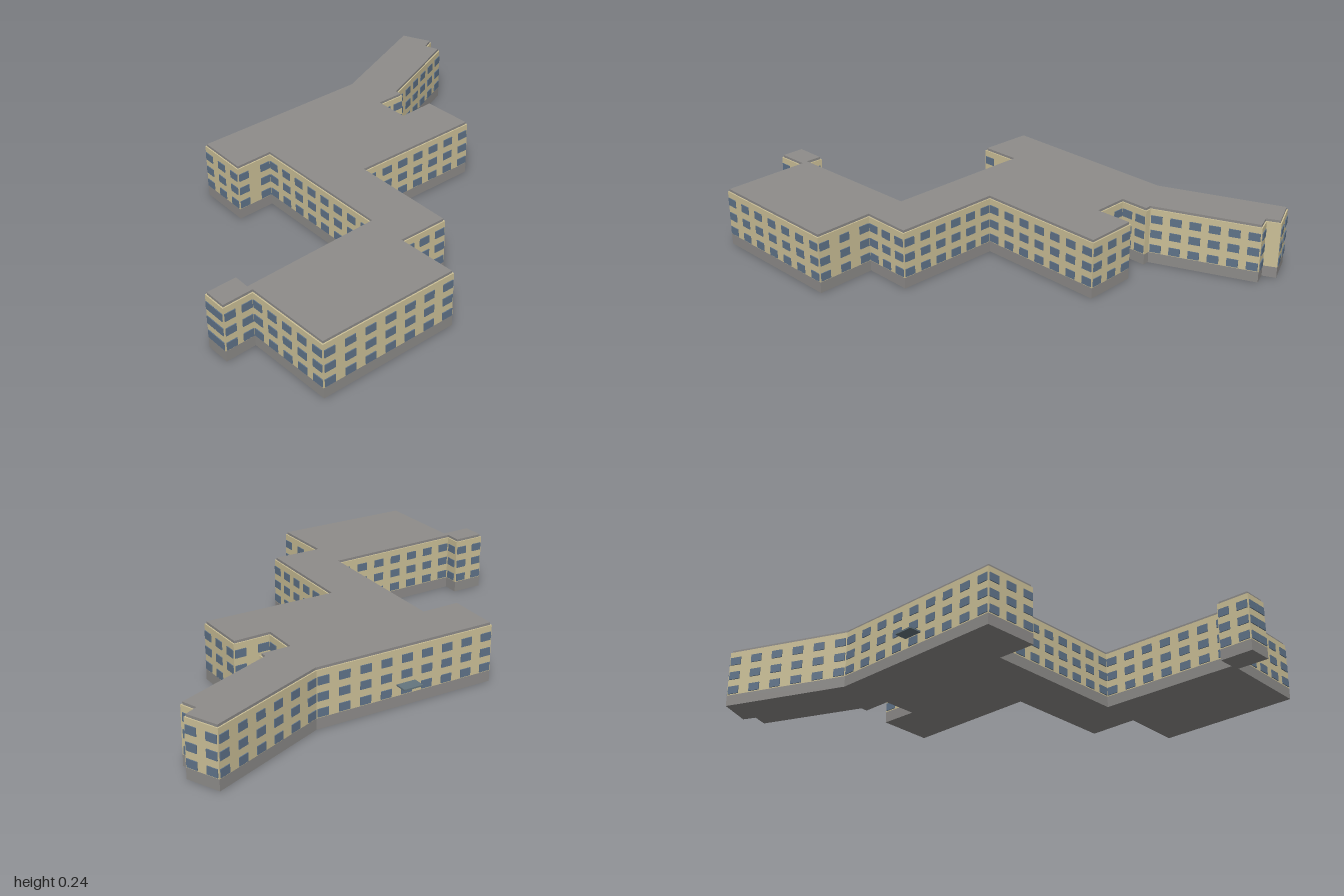
import * as THREE from 'three';
import { mergeGeometries } from 'three/addons/utils/BufferGeometryUtils.js';

const mat = (name, color) => Object.assign(new THREE.MeshStandardMaterial({ color }), { name });

// Footprint corners as [x, z], running from the back left wing around the building
const outline = [
  [-0.275, -0.627], [0.46, -0.465], [0.967, -0.555], [0.997, -0.42], [0.943, -0.407],
  [0.953, -0.345], [0.527, -0.268], [0.523, -0.24], [0.408, -0.265], [0.381, -0.132],
  [0.528, -0.105], [0.489, 0.11], [-0.04, -0.008], [-0.135, 0.425], [-0.332, 0.38],
  [-0.376, 0.625], [-0.942, 0.5], [-0.873, 0.143], [-0.997, 0.12], [-0.975, 0.02],
  [-0.845, 0.046], [-0.86, 0.11], [-0.305, 0.212], [-0.173, -0.38], [-0.328, -0.41],
];

// Move every edge of the footprint inward by d
function inset(points, d) {
  const n = points.length;
  return points.map(([x, z], i) => {
    const p = new THREE.Vector2(...points[(i + n - 1) % n]);
    const c = new THREE.Vector2(x, z);
    const q = new THREE.Vector2(...points[(i + 1) % n]);
    const a = c.clone().sub(p).normalize();
    const b = q.sub(c).normalize();
    const na = new THREE.Vector2(-a.y, a.x);
    const nb = new THREE.Vector2(-b.y, b.x);
    const k = d / (1 + na.dot(nb));
    return [x + (na.x + nb.x) * k, z + (na.y + nb.y) * k];
  });
}

// Prism over a footprint between two heights
function storey(name, points, y0, y1, material) {
  const shape = new THREE.Shape(points.map(([x, z]) => new THREE.Vector2(x, -z)));
  const geo = new THREE.ExtrudeGeometry(shape, { depth: y1 - y0, bevelEnabled: false });
  geo.rotateX(-Math.PI / 2).translate(0, y0, 0);
  const mesh = new THREE.Mesh(geo, material);
  mesh.name = name;
  return mesh;
}

export function createModel() {
  const group = new THREE.Group();
  group.name = 'building';
  const wall = mat('cream wall', 0xcdc198);
  const stone = mat('grey stone', 0x8e8c8a);
  const glass = mat('blue grey glass', 0x60748a);
  const canopyMat = mat('canopy grey', 0x64757e);

  group.add(
    storey('plinth', outline, 0, 0.044, stone),
    storey('walls', outline, 0.044, 0.229, wall),
    storey('roof', inset(outline, 0.005), 0.229, 0.239, stone),
  );

  // Three rows of evenly spaced windows on every wall long enough
  const panes = [];
  outline.forEach(([x0, z0], i) => {
    const [x1, z1] = outline[(i + 1) % outline.length];
    const length = Math.hypot(x1 - x0, z1 - z0);
    if (length < 0.06) return;
    const margin = 0.027;
    const count = length < 0.1 ? 1 : Math.round((length - 2 * margin) / 0.084) + 1;
    for (let k = 0; k < count; k++) {
      const along = count === 1 ? length / 2 : margin + (k * (length - 2 * margin)) / (count - 1);
      const t = along / length;
      for (const y of [0.064, 0.126, 0.188]) {
        const pane = new THREE.BoxGeometry(0.045, 0.032, 0.007);
        pane.rotateY(-Math.atan2(z1 - z0, x1 - x0));
        pane.translate(x0 + (x1 - x0) * t, y, z0 + (z1 - z0) * t);
        panes.push(pane);
      }
    }
  });
  const windows = new THREE.Mesh(mergeGeometries(panes), glass);
  windows.name = 'windows';
  group.add(windows);

  // Entrance canopy on the back wall
  const canopy = new THREE.Mesh(new THREE.BoxGeometry(0.08, 0.006, 0.05), canopyMat);
  canopy.name = 'entranceCanopy';
  canopy.position.set(0.1, 0.088, -0.57);
  canopy.rotation.y = -0.217;
  group.add(canopy);

  return group;
}
